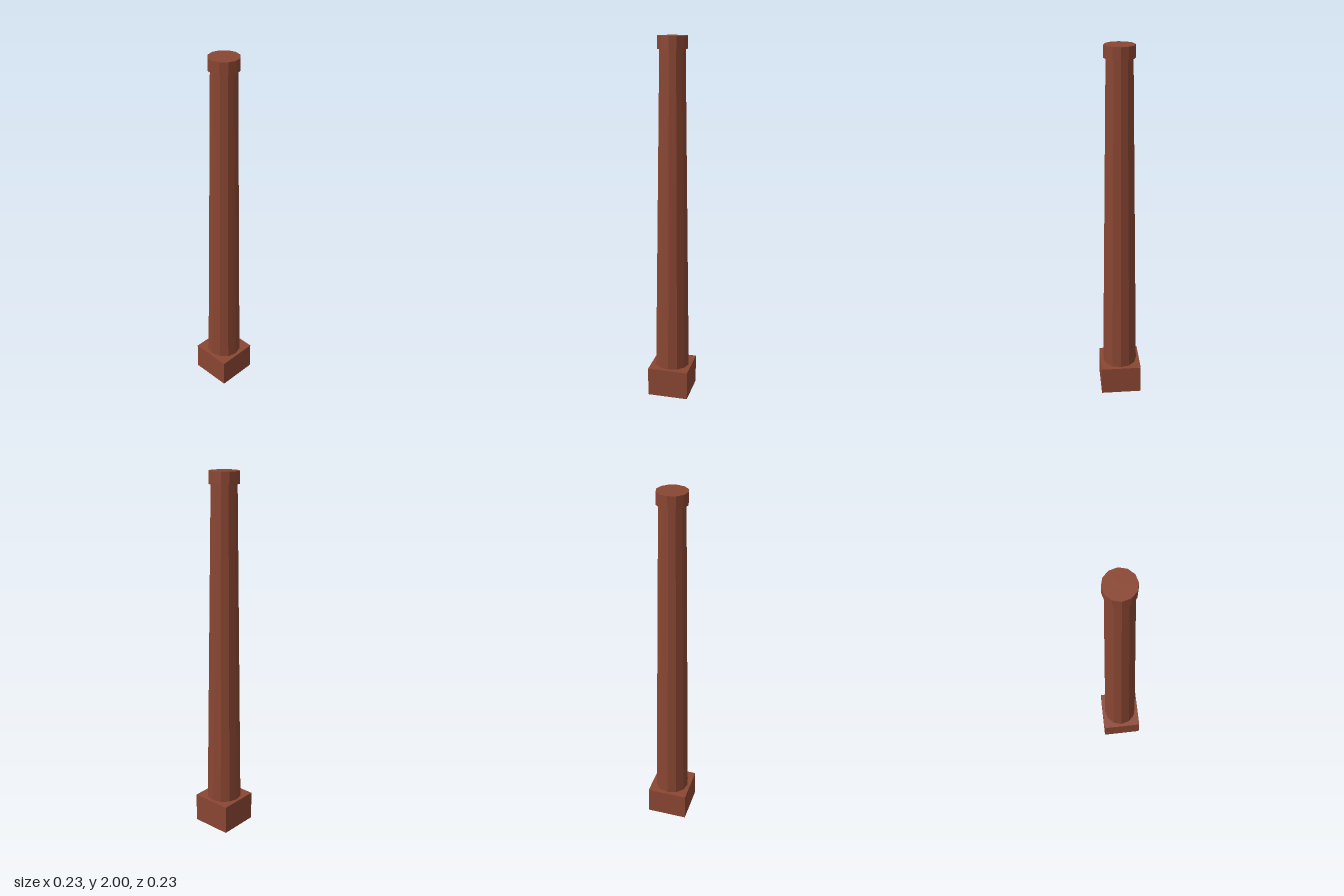
import * as THREE from 'three';

export function createModel() {
  const model = new THREE.Group();
  model.name = 'chimney';
  const brick = new THREE.MeshStandardMaterial({ color: 0x8a4632, flatShading: true });
  brick.name = 'brick red';

  // Adds a part resting on height y
  const add = (name, geometry, y, height) => {
    const mesh = new THREE.Mesh(geometry, brick);
    mesh.name = name;
    mesh.position.y = y + height / 2;
    model.add(mesh);
  };

  const baseH = 0.163, capH = 0.065, shaftH = 2 - baseH - capH;

  // Square plinth
  add('base', new THREE.BoxGeometry(0.227, baseH, 0.227), 0, baseH);
  // Tapered twelve-sided stack
  add('shaft', new THREE.CylinderGeometry(0.07, 0.097, shaftH, 12), baseH, shaftH);
  // Wider rim on top
  add('cap', new THREE.CylinderGeometry(0.081, 0.081, capH, 12), 2 - capH, capH);

  return model;
}
